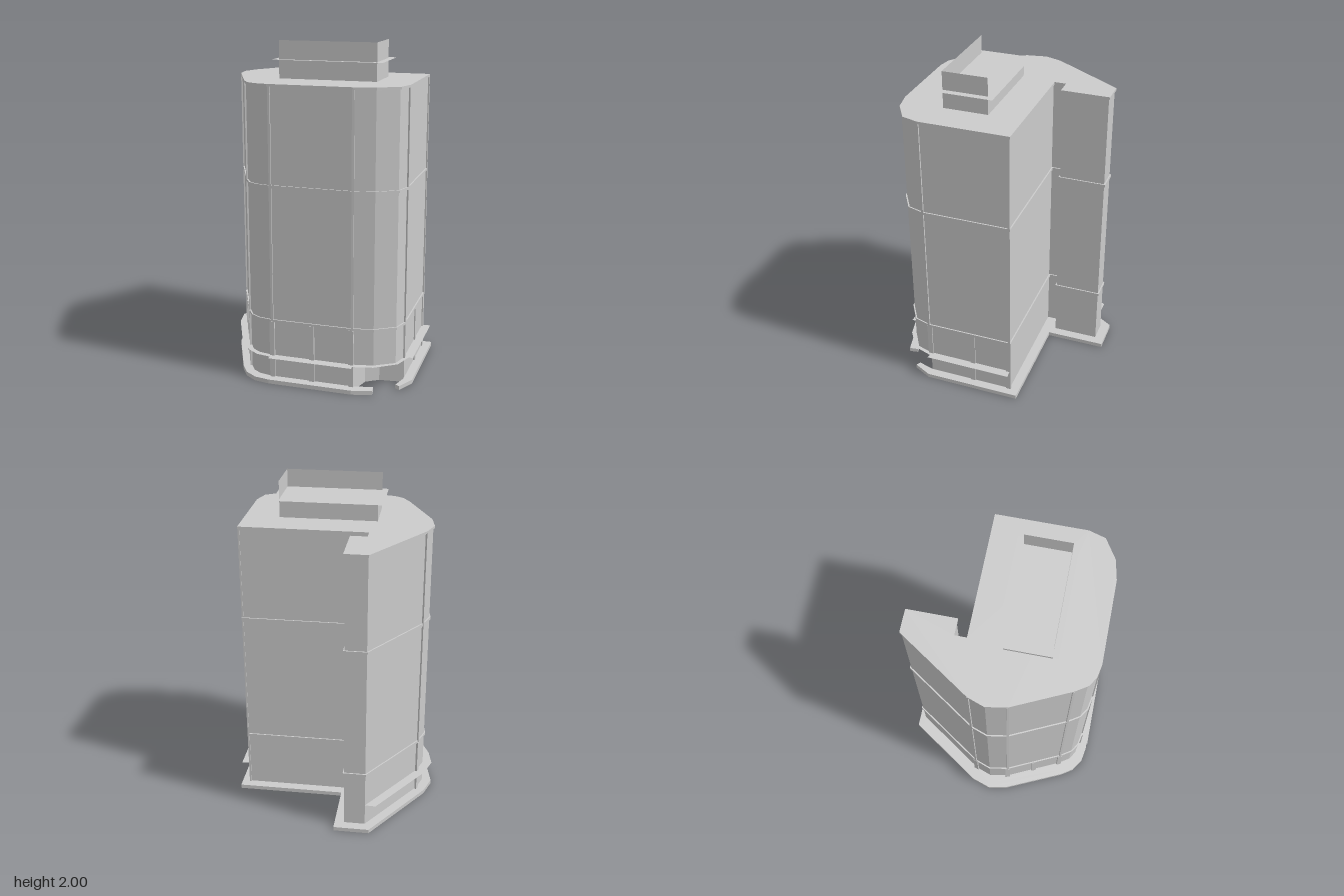
import * as THREE from 'three';

const solid = new THREE.MeshStandardMaterial({ color: 0xcccccc, flatShading: true });
const sheet = new THREE.MeshStandardMaterial({ color: 0xcccccc, flatShading: true, side: THREE.DoubleSide });

// Plan outline of the housing as [x, z], clockwise seen from above
const outline = [
  [-0.24, -0.555], [-0.1, -0.555], [-0.1, -0.26], [-0.2, -0.26], [-0.2, -0.19],
  [0.565, -0.19], [0.565, 0.35], [0.535, 0.45], [0.415, 0.525], [0.29, 0.55],
  [-0.21, 0.55], [-0.29, 0.535], [-0.345, 0.5], [-0.39, 0.43],
  [-0.545, 0.1], [-0.565, -0.02], [-0.53, -0.12],
];

// Mitred inward offset of a closed outline
function inset(pts, t) {
  const n = pts.length;
  const normal = (a, b) => new THREE.Vector2(a[1] - b[1], b[0] - a[0]).normalize();
  return pts.map((p, i) => {
    const n1 = normal(pts[(i + n - 1) % n], p);
    const n2 = normal(p, pts[(i + 1) % n]);
    const k = t / (1 + n1.dot(n2));
    return [p[0] + (n1.x + n2.x) * k, p[1] + (n1.y + n2.y) * k];
  });
}

const planShape = (pts) => new THREE.Shape(pts.map(([x, z]) => new THREE.Vector2(x, -z)));

function add(group, name, geometry, material) {
  const mesh = new THREE.Mesh(geometry, material);
  mesh.name = name;
  group.add(mesh);
  return mesh;
}

// Solid slab from a plan outline, with an optional hole
function slab(group, name, pts, y0, y1, hole) {
  const shape = planShape(pts);
  if (hole) shape.holes.push(planShape(hole));
  const g = new THREE.ExtrudeGeometry(shape, { depth: y1 - y0, bevelEnabled: false });
  g.rotateX(-Math.PI / 2).translate(0, y0, 0);
  return add(group, name, g, solid);
}

// Thin horizontal sheet
function flat(group, name, pts, y) {
  const g = new THREE.ShapeGeometry(planShape(pts));
  g.rotateX(-Math.PI / 2).translate(0, y, 0);
  return add(group, name, g, sheet);
}

// Thin upright wall following a plan path
function wall(group, name, pts, y0, y1, closed = true) {
  const pos = [];
  const count = closed ? pts.length : pts.length - 1;
  for (let i = 0; i < count; i++) {
    const [ax, az] = pts[i];
    const [bx, bz] = pts[(i + 1) % pts.length];
    pos.push(ax, y0, az, ax, y1, az, bx, y1, bz, ax, y0, az, bx, y1, bz, bx, y0, bz);
  }
  const g = new THREE.BufferGeometry();
  g.setAttribute('position', new THREE.Float32BufferAttribute(pos, 3));
  g.computeVertexNormals();
  return add(group, name, g, sheet);
}

// Upright strip on the wall
function strip(group, name, x, z, angle, width, depth, y0, y1) {
  const m = add(group, name, new THREE.BoxGeometry(width, y1 - y0, depth), solid);
  m.position.set(x, (y0 + y1) / 2, z);
  m.rotation.y = angle;
}

export function createModel() {
  const model = new THREE.Group();
  const body = inset(outline, 0.008);

  // Housing walls, with a recess at the lower front corner
  const recessTop = 0.16;
  const recess = [[0.557, 0.345], [0.41, 0.36], [0.335, 0.41], [0.3, 0.541]];
  const lower = [...body.slice(0, 6), ...recess, ...body.slice(10)];
  wall(model, 'housingWall', body, recessTop, 1.77);
  wall(model, 'lowerWall', lower, 0, recessTop);
  flat(model, 'recessCeiling', [...body.slice(6, 10), ...recess.slice().reverse()], recessTop);

  // Roof and horizontal bands
  slab(model, 'roof', outline, 1.765, 1.78);
  for (const y of [0.38, 1.195]) {
    slab(model, 'band', outline, y - 0.008, y + 0.008, inset(outline, 0.012));
  }

  // Base flange, left open at the recessed corner
  const flange = [
    [0.42, 0.57], [0.3, 0.6], [-0.21, 0.6], [-0.3, 0.585], [-0.375, 0.535],
    [-0.425, 0.46], [-0.59, 0.1], [-0.615, -0.02], [-0.575, -0.14], [-0.265, -0.605],
    [-0.05, -0.605], [-0.05, -0.24], [0.61, -0.24], [0.61, 0.35], [0.555, 0.46],
  ];
  const inner = [...body.slice(8), ...body.slice(0, 8)].reverse();
  slab(model, 'baseFlange', [...flange, ...inner], 0, 0.025);

  // Thin ledge around the sides and front, narrower at the corners
  const ledge = [
    [0.61, -0.185], [0.61, 0.35], [0.585, 0.345], [0.545, 0.46], [0.42, 0.547],
    [0.3, 0.575], [0.3, 0.6], [-0.21, 0.6], [-0.21, 0.575], [-0.295, 0.56],
    [-0.36, 0.515], [-0.405, 0.45], [-0.425, 0.46], [-0.59, 0.1], [-0.615, -0.02],
    [-0.575, -0.14], [-0.3, -0.55],
  ];
  const ledgeInner = [...body.slice(5), body[0]].reverse();
  flat(model, 'ledge', [...ledge, ...ledgeInner], 0.162);

  // Full-height seam strips: x, z, facing angle
  const seams = [
    [-0.2, 0.545, 0], [0.29, 0.545, 0.1], [0.56, 0.35, 1.45], [0.56, -0.18, Math.PI / 2],
    [-0.387, 0.427, -1.1], [-0.54, 0.1, -1.2], [-0.525, -0.12, -1.9],
  ];
  for (const [x, z, a] of seams) strip(model, 'seamStrip', x, z, a, 0.014, 0.01, 0.38, 1.77);

  // Wider ribs on the lower section
  const ribs = [
    [-0.2, 0.547, 0], [0.045, 0.547, 0], [0.285, 0.547, 0], [-0.387, 0.427, -1.1],
    [-0.463, 0.265, -1.13], [-0.54, 0.1, -1.2], [-0.525, -0.12, -1.9],
    [0.558, 0.06, Math.PI / 2], [0.558, -0.175, Math.PI / 2],
  ];
  for (const [x, z, a] of ribs) strip(model, 'lowerRib', x, z, a, 0.03, 0.012, 0.025, 0.375);
  strip(model, 'lowerRib', 0.558, 0.345, Math.PI / 2, 0.03, 0.012, recessTop, 0.375);

  // Roof duct: closed lower box, plate, and two raised walls
  const rect = (x0, x1, z0, z1) => [[x0, z0], [x1, z0], [x1, z1], [x0, z1]];
  const duct = rect(-0.23, 0.355, 0.015, 0.285);
  wall(model, 'ductBase', duct, 1.78, 1.89);
  flat(model, 'ductPlate', rect(-0.265, 0.395, -0.025, 0.315), 1.89);
  wall(model, 'ductScreen', duct.slice(1), 1.89, 2, false);

  return model;
}
